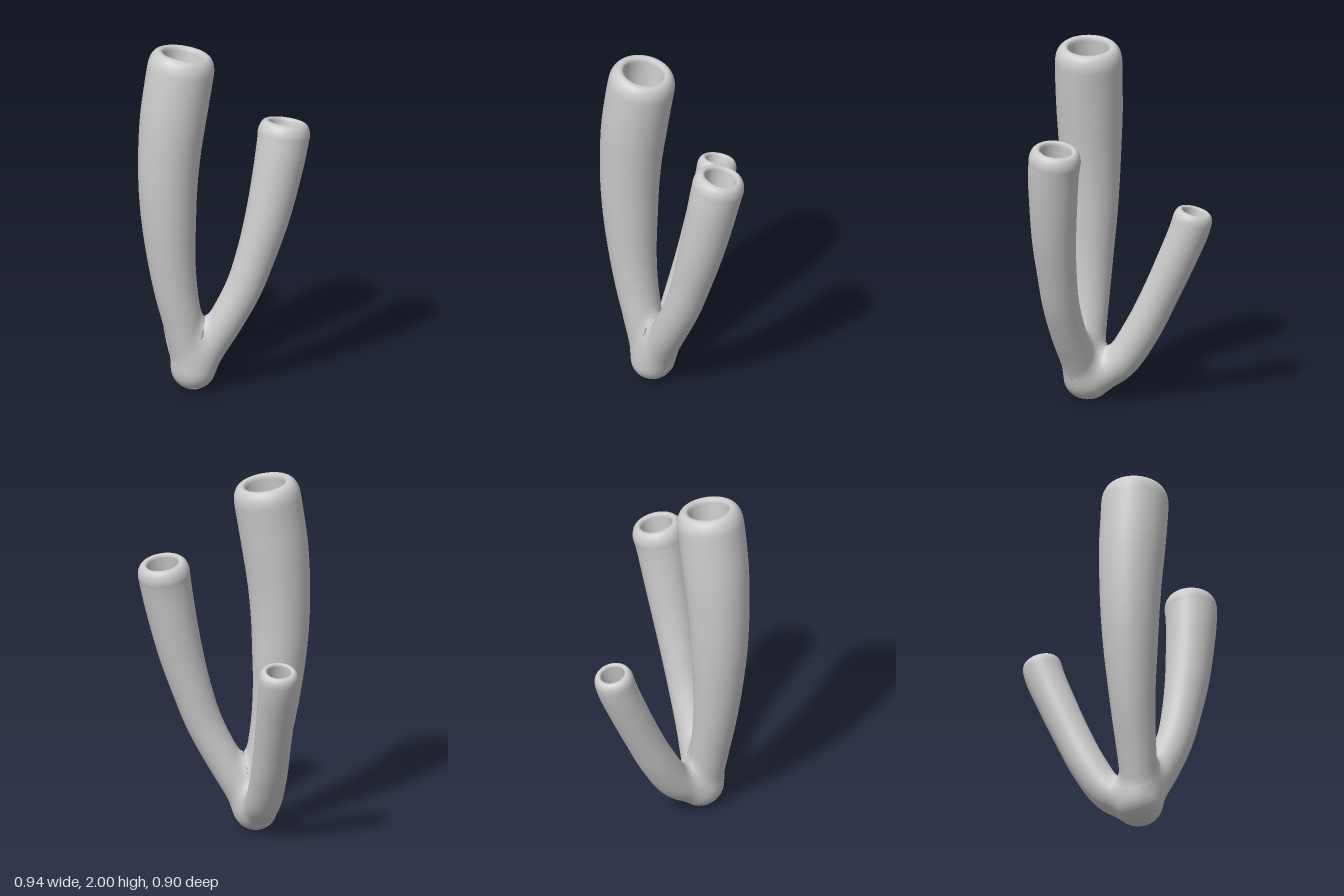
import * as THREE from 'three';

// Spine of each tube: x, y, z, radius
const SPINES = {
  tallTube: [
    [-0.17, 0.12, 0.25, 0.095], [-0.225, 0.4, 0.255, 0.107], [-0.265, 0.6, 0.257, 0.118],
    [-0.29, 0.8, 0.258, 0.132], [-0.303, 1.0, 0.258, 0.148], [-0.308, 1.2, 0.258, 0.16],
    [-0.3, 1.4, 0.257, 0.17], [-0.28, 1.6, 0.255, 0.18], [-0.25, 1.8, 0.252, 0.183],
    [-0.22, 1.98, 0.245, 0.183],
  ],
  middleTube: [
    [-0.15, 0.125, 0.255, 0.095], [-0.085, 0.25, 0.27, 0.095], [0, 0.4, 0.295, 0.096],
    [0.1, 0.6, 0.315, 0.1], [0.17, 0.8, 0.32, 0.108], [0.228, 1.0, 0.32, 0.12],
    [0.275, 1.2, 0.312, 0.13], [0.315, 1.4, 0.3, 0.139], [0.34, 1.545, 0.28, 0.143],
  ],
  shortTube: [
    [-0.17, 0.12, 0.2, 0.092], [-0.178, 0.22, 0.06, 0.097], [-0.184, 0.4, -0.06, 0.1],
    [-0.185, 0.6, -0.16, 0.1], [-0.185, 0.8, -0.25, 0.104], [-0.185, 1.0, -0.333, 0.108],
    [-0.185, 1.1, -0.36, 0.108],
  ],
};
const SIDES = 48, BODY = 90, BLEND = 0.07;

// Axis curve, its radius by arc length, and sampled points for the distance field
function makeSpine(points) {
  const curve = new THREE.CatmullRomCurve3(points.map(p => new THREE.Vector3(p[0], p[1], p[2])));
  const radii = new THREE.SplineCurve(points.map((p, i) => new THREE.Vector2(i, p[3])));
  const radiusAt = u => radii.getPoint(curve.getUtoTmapping(u)).y;
  const samples = [];
  for (let i = 0; i <= 40; i++) samples.push({ p: curve.getPointAt(i / 40), r: radiusAt(i / 40) });
  return { curve, radiusAt, samples, length: curve.getLength() };
}

// Distance from a point to one tube
const segment = new THREE.Vector3(), offset = new THREE.Vector3();
function tubeDistance(p, { samples }) {
  let best = Infinity;
  for (let i = 1; i < samples.length; i++) {
    const a = samples[i - 1], b = samples[i];
    segment.subVectors(b.p, a.p);
    offset.subVectors(p, a.p);
    const t = THREE.MathUtils.clamp(offset.dot(segment) / segment.lengthSq(), 0, 1);
    offset.addScaledVector(segment, -t);
    best = Math.min(best, offset.length() - THREE.MathUtils.lerp(a.r, b.r, t));
  }
  return best;
}

// Rounded union of all tubes
function field(p, spines) {
  return spines.map(s => tubeDistance(p, s)).reduce((a, b) => {
    const h = Math.max(BLEND - Math.abs(a - b), 0) / BLEND;
    return Math.min(a, b) - h * h * BLEND / 4;
  });
}

// Move a point on to the blended skin; points deep inside stay hidden
function settle(p, spines) {
  const e = 0.002, q = new THREE.Vector3(), g = new THREE.Vector3();
  for (let k = 0; k < 3; k++) {
    const f = field(p, spines);
    if (f < -0.06 || Math.abs(f) < 1e-4) break;
    ['x', 'y', 'z'].forEach(axis => {
      q.copy(p)[axis] += e;
      g[axis] = (field(q, spines) - f) / e;
    });
    p.addScaledVector(g, -f / Math.max(g.lengthSq(), 0.3));
  }
  p.y = Math.max(p.y, 0);
}

function tubeGeometry(spine, spines) {
  const { curve, radiusAt, length: L } = spine;
  const r0 = radiusAt(0), R = radiusAt(1), bodyEnd = L - 0.5 * R;
  const rings = []; // distance along the axis, radius, part of the blended skin
  // Round foot
  for (let i = 0; i < 12; i++) {
    const a = i / 12 * Math.PI / 2;
    rings.push([-r0 * Math.cos(a), r0 * Math.sin(a), true]);
  }
  // Body
  for (let i = 0; i < BODY; i++) {
    const s = bodyEnd * i / BODY;
    rings.push([s, radiusAt(s / L), true]);
  }
  // Rounded lip
  for (let i = 0; i <= 10; i++) {
    const a = i / 10 * Math.PI / 2;
    rings.push([bodyEnd + 0.5 * R * Math.sin(a), R * (0.72 + 0.28 * Math.cos(a))]);
  }
  // Rim, bore and bowl-shaped floor
  rings.push([L - 0.01 * R, 0.66 * R], [L - 0.05 * R, 0.62 * R], [L - 0.14 * R, 0.6 * R]);
  for (let i = 0; i <= 10; i++) {
    const a = i / 10 * Math.PI / 2;
    rings.push([L - R * (1.2 + 0.6 * Math.sin(a)), 0.58 * R * Math.cos(a)]);
  }

  const positions = [], index = [], u = new THREE.Vector3(), v = new THREE.Vector3();
  rings.forEach(([s, r, skin], i) => {
    const at = THREE.MathUtils.clamp(s / L, 0, 1);
    const tangent = curve.getTangentAt(at);
    const centre = curve.getPointAt(at).addScaledVector(tangent, Math.min(s, 0));
    u.set(1, 0, 0).addScaledVector(tangent, -tangent.x).normalize();
    v.crossVectors(tangent, u);
    for (let j = 0; j < SIDES; j++) {
      const a = j / SIDES * Math.PI * 2;
      const p = centre.clone().addScaledVector(u, r * Math.cos(a)).addScaledVector(v, r * Math.sin(a));
      if (skin) settle(p, spines);
      positions.push(p.x, p.y, p.z);
      if (i === 0) continue;
      const k = (j + 1) % SIDES, lo = (i - 1) * SIDES, hi = i * SIDES;
      index.push(lo + j, lo + k, hi + j, lo + k, hi + k, hi + j);
    }
  });
  const geometry = new THREE.BufferGeometry();
  geometry.setAttribute('position', new THREE.Float32BufferAttribute(positions, 3));
  geometry.setIndex(index);
  geometry.computeVertexNormals();
  return geometry;
}

export function createModel() {
  const group = new THREE.Group();
  group.name = 'tubeCluster';
  const material = new THREE.MeshStandardMaterial({ color: 0xcccccc });
  const names = Object.keys(SPINES);
  const spines = names.map(name => makeSpine(SPINES[name]));
  names.forEach((name, i) => {
    const mesh = new THREE.Mesh(tubeGeometry(spines[i], spines), material);
    mesh.name = name;
    group.add(mesh);
  });
  return group;
}
